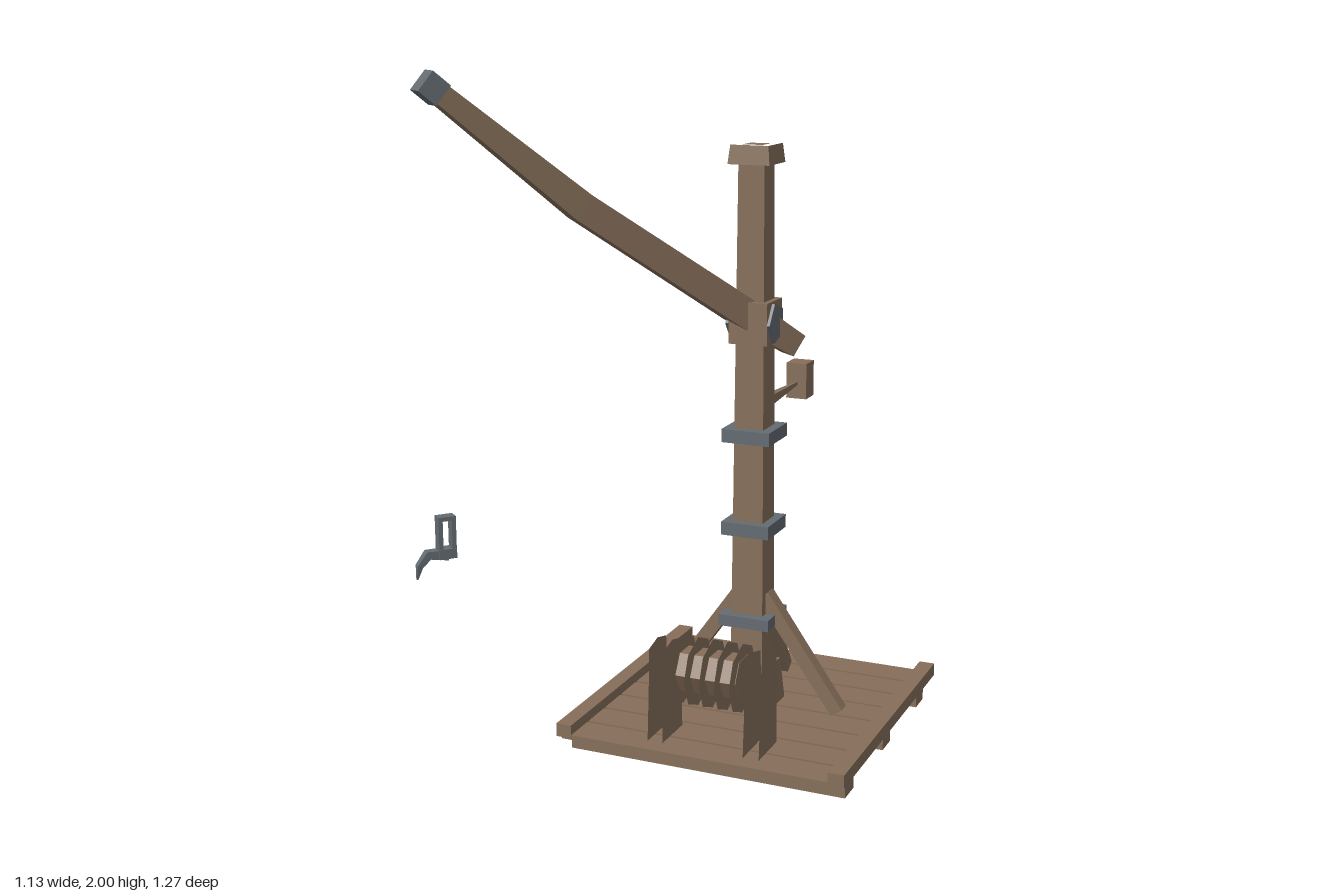
import * as THREE from 'three';

const wood = new THREE.MeshStandardMaterial({ color: 0x866f5a, flatShading: true });
wood.name = 'weathered wood';
const woodSheet = new THREE.MeshStandardMaterial({ color: 0x866f5a, flatShading: true, side: THREE.DoubleSide });
woodSheet.name = 'weathered wood sheet';
const metal = new THREE.MeshStandardMaterial({ color: 0x646c72, flatShading: true });
metal.name = 'iron';

const MAST_X = 0.11, MAST_Z = -0.18;

function add(parent, name, geometry, material, x = 0, y = 0, z = 0) {
  const mesh = new THREE.Mesh(geometry, material);
  mesh.name = name;
  mesh.position.set(x, y, z);
  parent.add(mesh);
  return mesh;
}

function box(parent, name, material, x0, x1, y0, y1, z0, z1) {
  return add(parent, name, new THREE.BoxGeometry(x1 - x0, y1 - y0, z1 - z0), material,
    (x0 + x1) / 2, (y0 + y1) / 2, (z0 + z1) / 2);
}

// Square frustum: half widths at the top and bottom
function frustum(top, bottom, height, open = false) {
  const r = Math.SQRT2;
  return new THREE.CylinderGeometry(top * r, bottom * r, height, 4, 1, open).rotateY(Math.PI / 4);
}

// Rectangular beam through stations [z, y, width, height, tilt]
function beam(stations) {
  const rings = stations.map(([z, y, w, h, tilt]) =>
    [[1, 1], [-1, 1], [-1, -1], [1, -1]].map(([sx, sy]) => [
      sx * w / 2,
      y + sy * Math.cos(tilt) * h / 2,
      z - sy * Math.sin(tilt) * h / 2,
    ]));
  const positions = [];
  const quad = (a, b, c, d) => positions.push(...a, ...b, ...c, ...a, ...c, ...d);
  for (let i = 0; i < rings.length - 1; i++) {
    for (let k = 0; k < 4; k++) {
      const n = (k + 1) % 4;
      quad(rings[i][k], rings[i][n], rings[i + 1][n], rings[i + 1][k]);
    }
  }
  const end = rings[rings.length - 1];
  quad(...end);
  quad(...[...rings[0]].reverse());
  const geometry = new THREE.BufferGeometry();
  geometry.setAttribute('position', new THREE.Float32BufferAttribute(positions, 3));
  geometry.computeVertexNormals();
  return geometry;
}

// Group on the mast axis whose local +z points along the heading
function mastGroup(root, name, heading) {
  const group = new THREE.Group();
  group.name = name;
  group.position.set(MAST_X, 0, MAST_Z);
  group.rotation.y = heading;
  root.add(group);
  return group;
}

function buildPlatform(root) {
  const platform = new THREE.Group();
  platform.name = 'platform';
  root.add(platform);
  for (const z of [-0.53, -0.18, 0.17]) {
    box(platform, 'joist', wood, -0.315, 0.543, 0, 0.06, z - 0.037, z + 0.037);
  }
  const pitch = 0.1135;
  for (let i = 0; i < 8; i++) {
    const z = -0.63 + i * pitch;
    box(platform, 'deckPlank', wood, -0.315, 0.543, 0.055, 0.07, z, z + pitch - 0.01);
  }
  box(platform, 'sideRail', wood, -0.333, -0.285, 0.06, 0.1, -0.63, 0.27);
  box(platform, 'sideRail', wood, 0.512, 0.56, 0.06, 0.1, -0.63, 0.27);
}

function buildMast(root) {
  const mast = mastGroup(root, 'mast', 0);
  add(mast, 'mastPost', frustum(0.04, 0.052, 1.65, true), wood, 0, 0.895, 0);
  add(mast, 'mastFoot', frustum(0.066, 0.077, 0.13), wood, 0, 0.135, 0);
  // Hollow cap with a small top plate
  add(mast, 'mastCapRim', frustum(0.058, 0.064, 0.055, true), wood, 0, 1.747, 0);
  add(mast, 'mastCapPlate', new THREE.PlaneGeometry(0.062, 0.062).rotateX(-Math.PI / 2), wood, 0, 1.774, 0);
  for (const [y, half, height] of [[0.352, 0.08, 0.035], [0.64, 0.075, 0.04], [0.925, 0.075, 0.04]]) {
    add(mast, 'ironBand', new THREE.BoxGeometry(half * 2, height, half * 2), metal, 0, y, 0);
  }
  // Pivot block with five-sided iron plates
  add(mast, 'pivotBlock', new THREE.BoxGeometry(0.12, 0.125, 0.12), wood, 0, 1.262, 0);
  for (const side of [-1, 1]) {
    const disc = new THREE.CylinderGeometry(0.061, 0.061, 0.009, 5).rotateZ(-side * Math.PI / 2);
    add(mast, 'pivotPlate', disc, metal, side * 0.0645, 1.26, 0.002);
  }
}

function buildBraces(root) {
  for (const heading of [-Math.PI / 2, Math.PI / 2, Math.PI]) {
    const group = mastGroup(root, 'brace', heading);
    add(group, 'braceBeam', beam([[0.04, 0.425, 0.045, 0.042, -0.95], [0.28, 0.085, 0.04, 0.042, -0.95]]), wood);
  }
}

function buildCounterweight(root) {
  const group = mastGroup(root, 'counterweight', Math.PI);
  add(group, 'weightRod', beam([[0.04, 1.0, 0.034, 0.036, 0], [0.37, 1.0, 0.006, 0.01, 0]]), wood);
  add(group, 'weightBlock', new THREE.BoxGeometry(0.066, 0.113, 0.068), wood, 0, 1.008, 0.392);
}

function buildArm(root) {
  const arm = mastGroup(root, 'liftingArm', Math.atan2(-0.64, 0.77));
  add(arm, 'armBeam', beam([
    [-0.13, 1.18, 0.072, 0.07, 0.6],
    [0, 1.262, 0.078, 0.085, 0.59],
    [0.55, 1.625, 0.065, 0.08, 0.64],
    [0.95, 1.945, 0.052, 0.055, 0.69],
  ]), wood);
  const cap = add(arm, 'armTipCap', new THREE.BoxGeometry(0.066, 0.066, 0.062), metal, 0, 1.955, 0.965);
  cap.rotation.x = -0.69;

  // Hanging shackle frame and hook
  for (const z of [0.947, 0.985]) {
    box(arm, 'shacklePost', metal, -0.016, 0.016, 0.685, 0.8, z - 0.006, z + 0.006);
  }
  box(arm, 'shackleTop', metal, -0.016, 0.016, 0.788, 0.8, 0.941, 0.991);
  box(arm, 'shackleBottom', metal, -0.018, 0.018, 0.68, 0.708, 0.941, 0.991);
  add(arm, 'hook', beam([
    [0.965, 0.69, 0.03, 0.03, 0],
    [1.02, 0.695, 0.026, 0.024, -0.4],
    [1.045, 0.665, 0.02, 0.016, -1.1],
    [1.052, 0.628, 0.006, 0.004, -1.5],
  ]), metal);
}

function buildWinch(root) {
  const winch = new THREE.Group();
  winch.name = 'winch';
  root.add(winch);
  // Paired upright boards; shape x runs along -z after turning
  const upright = new THREE.Shape([
    [-0.215, 0.07], [-0.07, 0.07], [-0.075, 0.22], [-0.08, 0.35], [-0.14, 0.365], [-0.2, 0.35], [-0.205, 0.22],
  ].map(([x, y]) => new THREE.Vector2(x, y)));
  for (const x of [-0.062, -0.015, 0.237, 0.286]) {
    add(winch, 'winchUpright', new THREE.ShapeGeometry(upright).rotateY(Math.PI / 2), woodSheet, x, 0, 0);
  }
  const drum = new THREE.CylinderGeometry(0.066, 0.066, 0.187, 6).rotateZ(Math.PI / 2);
  add(winch, 'winchDrum', drum, wood, 0.113, 0.282, 0.135);
  // Thin eight-sided flanges along the drum
  for (let i = 0; i < 5; i++) {
    const flange = new THREE.CircleGeometry(0.105, 8).rotateY(Math.PI / 2);
    add(winch, 'drumFlange', flange, woodSheet, 0.021 + i * 0.046, 0.28, 0.14);
  }
}

export function createModel() {
  const root = new THREE.Group();
  root.name = 'mastCrane';
  buildPlatform(root);
  buildMast(root);
  buildBraces(root);
  buildCounterweight(root);
  buildArm(root);
  buildWinch(root);
  return root;
}
